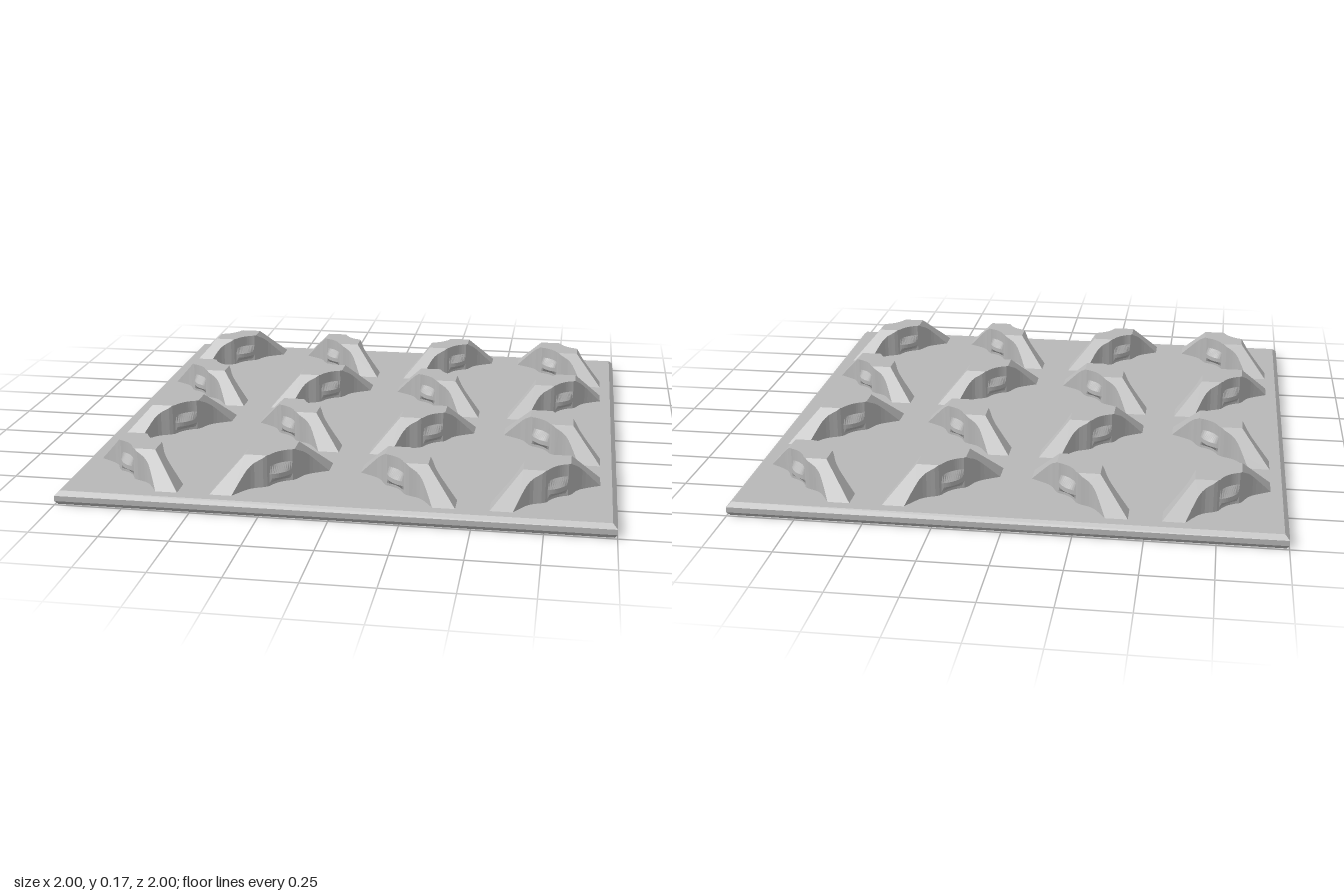
import * as THREE from 'three';
import { mergeGeometries } from 'three/addons/utils/BufferGeometryUtils.js';

const PLATE_TOP = 0.05, RIDGE_TOP = 0.17, TIP = 0.269, FLAT_TIP = 0.117;
const SIDE = 0.057, RECESS = 0.05;

// Height of a ridge: a flat top with a square pyramid slope at each end
const height = (u, v) => Math.min(RIDGE_TOP,
  PLATE_TOP + (RIDGE_TOP - PLATE_TOP) * (TIP - Math.abs(u) - Math.abs(v)) / (TIP - FLAT_TIP));

// Faceted geometry from a list of positions
function faceted(positions) {
  const g = new THREE.BufferGeometry();
  g.setAttribute('position', new THREE.Float32BufferAttribute(positions, 3));
  g.computeVertexNormals();
  return g;
}

// Flat outline lifted onto the ridge surface
function lidPanel(points) {
  const g = new THREE.ShapeGeometry(new THREE.Shape(points)).toNonIndexed();
  const p = g.attributes.position, out = [];
  for (let i = 0; i < p.count; i++) {
    const u = p.getX(i), v = p.getY(i);
    out.push(u, height(u, v), -v);
  }
  return faceted(out);
}

// Skin between rows of points, listed from bottom to top
function skin(rows) {
  const out = [];
  for (let r = 0; r < rows.length - 1; r++) {
    for (let i = 0; i < rows[r].length - 1; i++) {
      const a = rows[r][i], b = rows[r][i + 1], c = rows[r + 1][i + 1], d = rows[r + 1][i];
      out.push(...a, ...b, ...c, ...a, ...c, ...d);
    }
  }
  return faceted(out);
}

// Bowed line across the middle of a ridge side; positive bow bulges outwards
function bowed(bow, steps = 12) {
  return Array.from({ length: steps + 1 }, (_, i) => {
    const t = 1 - 2 * i / steps;
    return new THREE.Vector2(RECESS * t, SIDE + bow * (1 - t * t));
  });
}

function ridgeGeometries() {
  const flank = [[0.212, 0.057], [0.175, 0.0475], [0.15, 0.042], [0.135, 0.0395], [0.12, 0.0395],
    [0.105, 0.042], [0.09, 0.0475], [0.075, 0.0535], [0.06, SIDE]].map(p => new THREE.Vector2(...p));
  const mirrored = list => list.map(p => new THREE.Vector2(-p.x, p.y)).reverse();
  const recess = bowed(-0.012);
  const tip = new THREE.Vector2(TIP, 0), flatTip = new THREE.Vector2(FLAT_TIP, 0);
  const slope = [flatTip, tip, ...flank];
  const shoulder = flank[flank.length - 1];
  const flat = [flatTip, shoulder, ...recess, ...mirrored([flatTip, shoulder])];
  const outline = [tip, ...flank, ...recess, ...mirrored([tip, ...flank])];

  // One half of the body, with a shallow recess in its side
  const half = mergeGeometries([
    lidPanel(slope).deleteAttribute('uv'),
    lidPanel(mirrored(slope)).deleteAttribute('uv'),
    lidPanel(flat).deleteAttribute('uv'),
    skin([
      outline.map(p => [p.x, PLATE_TOP, -p.y]),
      outline.map(p => [p.x, height(p.x, p.y), -p.y]),
    ]),
  ]);

  // Rounded catch inside the recess
  const levels = [[0.06, -0.012], [0.078, 0.012], [0.095, 0.012], [0.125, -0.012]];
  const nub = skin(levels.map(([y, bow]) => bowed(bow).map(p => [p.x, y, -p.y])));

  const bothSides = g => mergeGeometries([g, g.clone().rotateY(Math.PI)]);
  return { body: bothSides(half), nubs: bothSides(nub) };
}

export function createModel() {
  const model = new THREE.Group();
  model.name = 'ridgedPlate';
  const grey = new THREE.MeshStandardMaterial({ color: 0xb8b8b8 });
  grey.name = 'light grey';

  // Square base plate with chamfered rims
  const profile = [[0, 0], [0.99, 0], [1, 0.014], [1, 0.034], [0.983, PLATE_TOP], [0, PLATE_TOP]]
    .map(([r, y]) => new THREE.Vector2(r * Math.SQRT2, y));
  const plateGeometry = new THREE.LatheGeometry(profile, 4).rotateY(Math.PI / 4).toNonIndexed();
  plateGeometry.computeVertexNormals();
  const plate = new THREE.Mesh(plateGeometry, grey);
  plate.name = 'basePlate';
  model.add(plate);

  // Four by four ridges, alternating between the two diagonals
  const { body, nubs } = ridgeGeometries();
  for (let i = 0; i < 4; i++) {
    for (let j = 0; j < 4; j++) {
      const ridge = new THREE.Group();
      ridge.name = 'ridge';
      const bodyMesh = new THREE.Mesh(body, grey);
      bodyMesh.name = 'ridgeBody';
      const nubMesh = new THREE.Mesh(nubs, grey);
      nubMesh.name = 'catchNubs';
      ridge.add(bodyMesh, nubMesh);
      ridge.position.set(-0.75 + 0.5 * i, 0, -0.75 + 0.5 * j);
      ridge.rotation.y = ((i + j) % 2 ? -1 : 1) * Math.PI / 4;
      model.add(ridge);
    }
  }
  return model;
}
